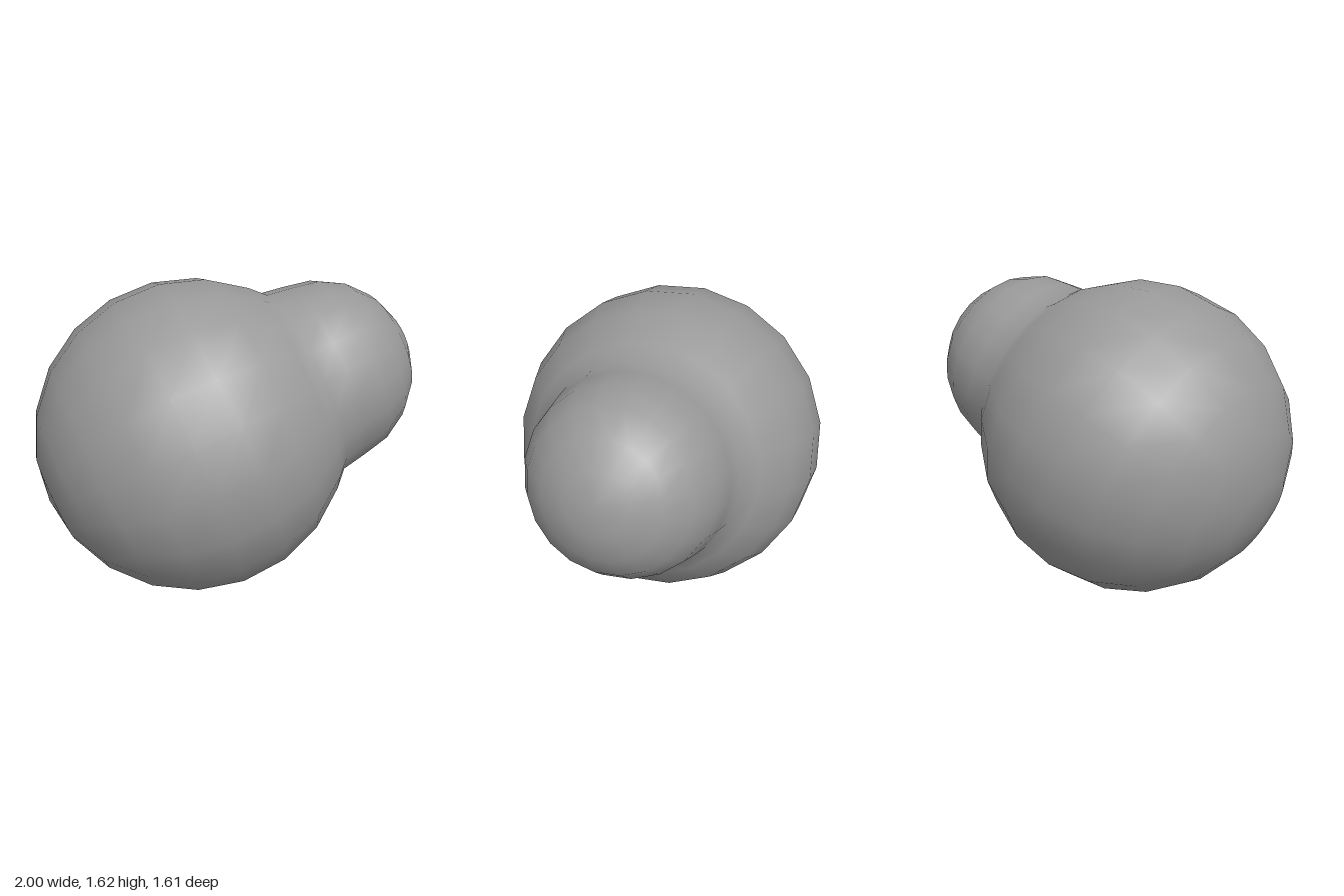
import * as THREE from 'three';

export function createModel() {
  const group = new THREE.Group();
  group.name = 'fusedSpheres';

  // Centres and radii of the two lobes
  const big = new THREE.Vector3(-0.19, 0.81, 0), bigR = 0.815;
  const small = new THREE.Vector3(0.5, 1.06, 0.155), smallR = 0.5;
  const axis = small.clone().sub(big);
  const gap = axis.length();

  // Profile along the line joining the centres
  const profile = [];
  const arc = (centre, radius, from, to, steps) => {
    for (let i = 0; i <= steps; i++) {
      const a = THREE.MathUtils.degToRad(from + (to - from) * i / steps);
      profile.push(new THREE.Vector2(Math.max(0, radius * Math.sin(a)), centre + radius * Math.cos(a)));
    }
  };
  arc(0, bigR, 180, 47, 8);
  // Soft neck between the lobes
  profile.push(new THREE.Vector2(0.52, 0.635));
  arc(gap, smallR, 88, 0, 5);

  // Keep the shading round at both poles
  const geometry = new THREE.LatheGeometry(profile, 20);
  const normals = geometry.attributes.normal;
  for (let i = 0; i < normals.count; i += profile.length) {
    normals.setXYZ(i, 0, -1, 0);
    normals.setXYZ(i + profile.length - 1, 0, 1, 0);
  }

  const body = new THREE.Mesh(geometry, new THREE.MeshStandardMaterial({ color: 0x999999 }));
  body.name = 'blendedLobes';
  body.position.copy(big);
  body.quaternion.setFromUnitVectors(new THREE.Vector3(0, 1, 0), axis.normalize());
  group.add(body);
  return group;
}
